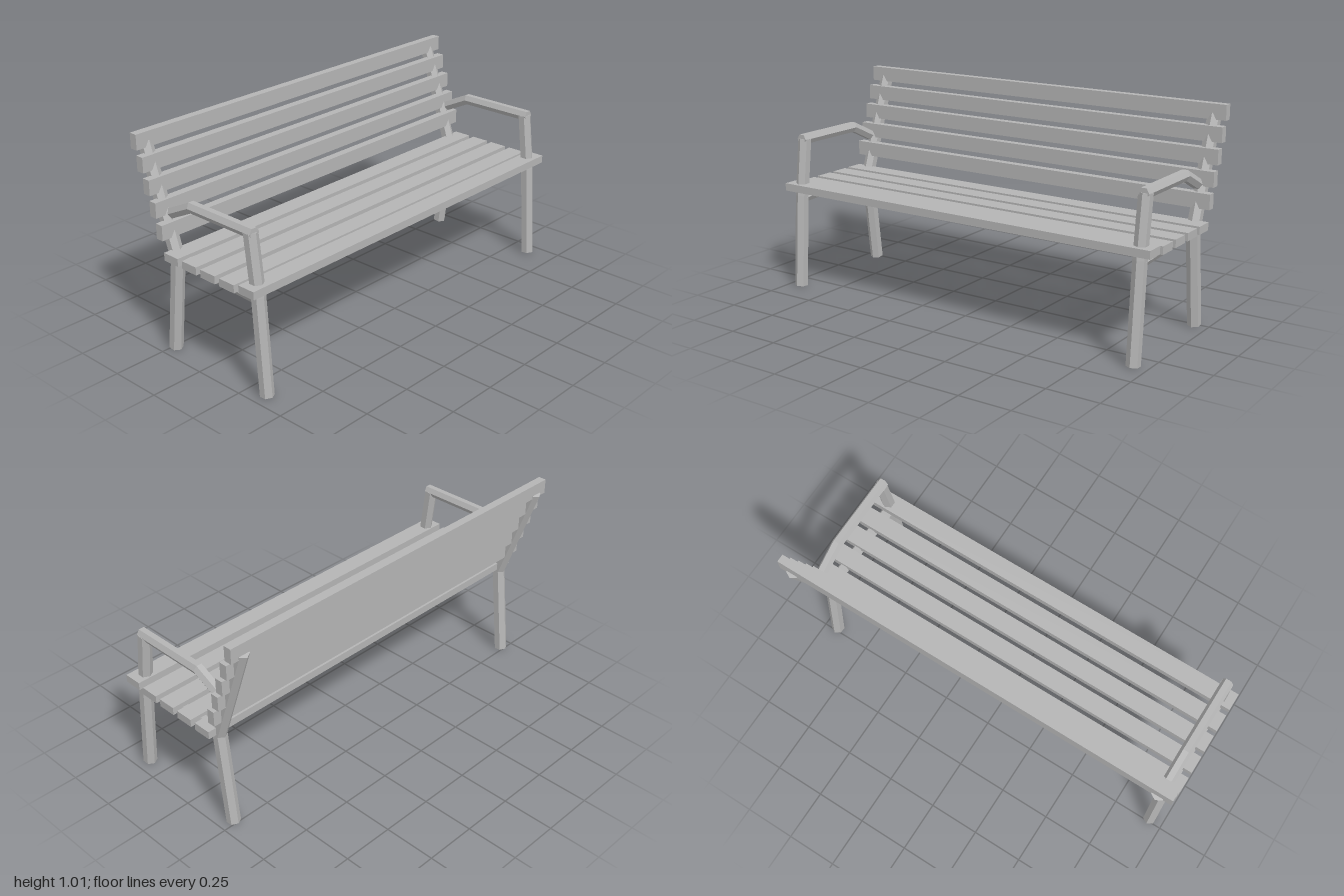
import * as THREE from 'three';

const grey = new THREE.MeshStandardMaterial({ color: 0xb4b4b4, flatShading: true });
grey.name = 'grey';

// Mitred hexagonal bar along [z, y] points; phase turns the hexagon about its axis.
function hexBar(name, path, radius, phase) {
  const pts = path.map(([z, y]) => new THREE.Vector2(z, y));
  const dirs = pts.slice(1).map((p, i) => p.clone().sub(pts[i]).normalize());
  const rings = pts.map((p, i) => {
    const a = dirs[Math.max(i - 1, 0)], b = dirs[Math.min(i, dirs.length - 1)];
    const t = a.clone().add(b).normalize();
    const stretch = 1 / t.dot(b);
    return Array.from({ length: 6 }, (_, k) => {
      const ang = phase + k * Math.PI / 3;
      const n = radius * Math.cos(ang) * stretch;
      return [radius * Math.sin(ang), p.y - t.x * n, p.x + t.y * n];
    });
  });
  const pos = [];
  const tri = (...corners) => corners.forEach(c => pos.push(...c));
  for (let k = 0; k < 6; k++) {
    const j = (k + 1) % 6;
    for (let i = 0; i < rings.length - 1; i++) {
      const r = rings[i], s = rings[i + 1];
      tri(r[k], r[j], s[j]);
      tri(r[k], s[j], s[k]);
    }
    // end caps
    const first = rings[0], last = rings[rings.length - 1];
    tri([0, pts[0].y, pts[0].x], first[j], first[k]);
    tri([0, pts[pts.length - 1].y, pts[pts.length - 1].x], last[k], last[j]);
  }
  const geo = new THREE.BufferGeometry();
  geo.setAttribute('position', new THREE.Float32BufferAttribute(pos, 3));
  geo.computeVertexNormals();
  const mesh = new THREE.Mesh(geo, grey);
  mesh.name = name;
  return mesh;
}

function slat(name, y, z, height, depth) {
  const mesh = new THREE.Mesh(new THREE.BoxGeometry(2, height, depth), grey);
  mesh.name = name;
  mesh.position.set(0, y, z);
  return mesh;
}

export function createModel() {
  const bench = new THREE.Group();
  bench.name = 'bench';

  // End frames: legs have an edge to the front, rails have an edge to the side
  for (const side of [-1, 1]) {
    const frame = new THREE.Group();
    frame.name = side > 0 ? 'leftFrame' : 'rightFrame';
    frame.position.x = side * 0.933;
    frame.add(
      hexBar('frontLeg', [[0.354, 0.004], [0.322, 0.46], [0.288, 0.738]], 0.032, 0),
      hexBar('backLeg', [[-0.234, 0.005], [-0.181, 0.463], [-0.355, 0.96]], 0.032, 0),
      hexBar('seatRail', [[0.32, 0.451], [-0.18, 0.474]], 0.028, Math.PI / 2),
      hexBar('armrest', [[0.31, 0.738], [-0.069, 0.738], [-0.2, 0.674]], 0.027, Math.PI / 2),
    );
    bench.add(frame);
  }

  // Seat slats, the front one slightly raised
  for (let i = 0; i < 5; i++) {
    bench.add(slat('seatSlat', i === 0 ? 0.502 : 0.492, 0.321 - i * 0.1167, 0.037, 0.089));
  }

  // Backrest slats, stepped along the leaning supports
  for (let i = 0; i < 5; i++) {
    bench.add(slat('backSlat', 0.599 + i * 0.0942, -0.213 - i * 0.0333, 0.071, 0.039));
  }

  return bench;
}
